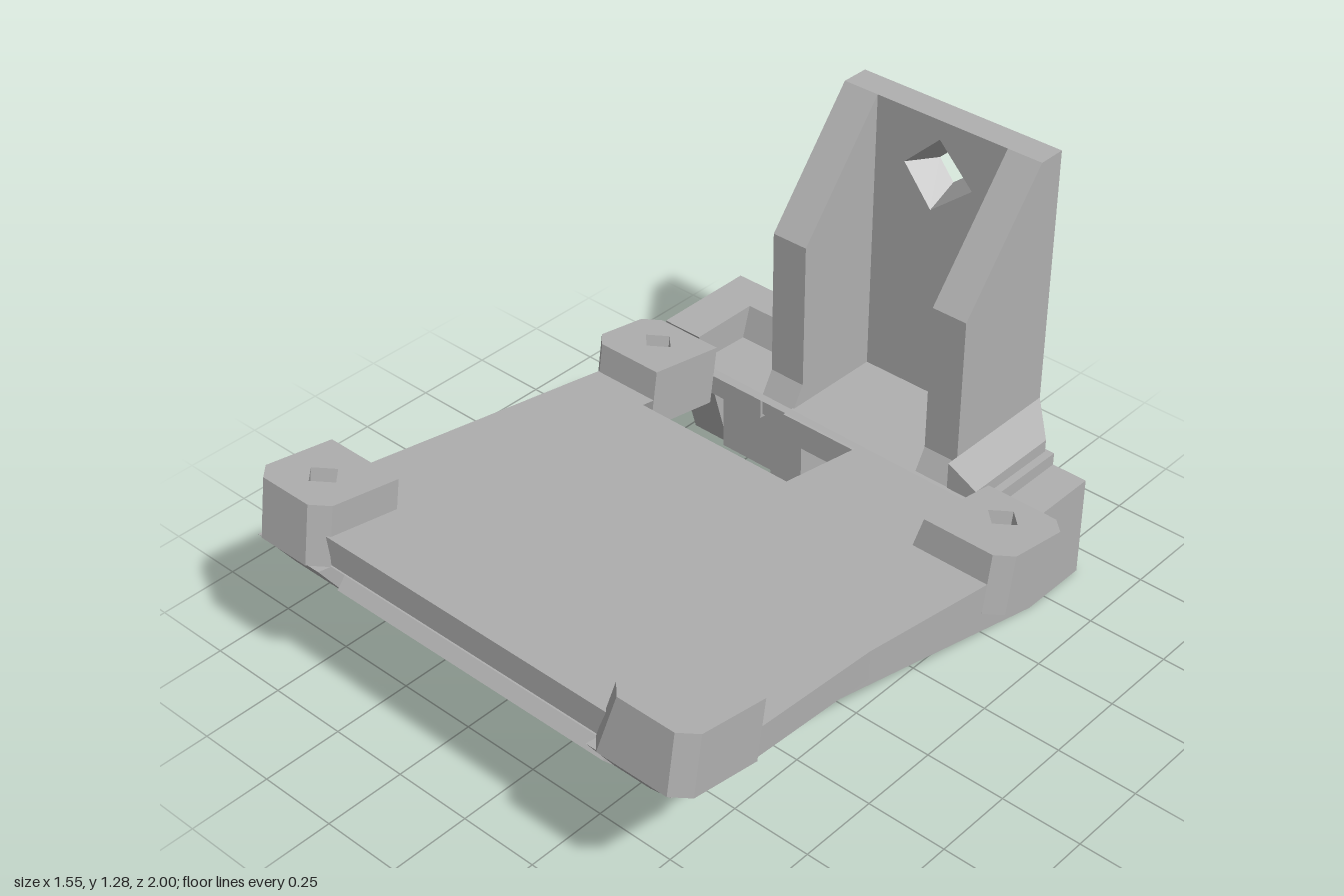
import * as THREE from 'three';

const SLOPE = 0.171;                       // tilt of the tray
const deckTop = z => 0.473 + SLOPE * z;
const deckBottom = z => 0.383 + SLOPE * z;
const postTop = z => 0.562 + SLOPE * z;
const postBottom = z => 0.379 + SLOPE * z;

export function createModel() {
  const group = new THREE.Group();
  group.name = 'tiltedTrayBracket';
  const grey = new THREE.MeshStandardMaterial({ color: 0xb0b0b0 });
  grey.name = 'grey';

  const add = (name, geometry) => {
    geometry.computeVertexNormals();
    const mesh = new THREE.Mesh(geometry, grey);
    mesh.name = name;
    group.add(mesh);
    return mesh;
  };
  const remap = (geometry, fn) => {
    const p = geometry.attributes.position;
    const v = new THREE.Vector3();
    for (let i = 0; i < p.count; i++) {
      v.fromBufferAttribute(p, i);
      fn(v);
      p.setXYZ(i, v.x, v.y, v.z);
    }
    return geometry;
  };
  const extrude = (pts, holes, depth) => {
    const toVec = list => list.map(([x, y]) => new THREE.Vector2(x, y));
    const shape = new THREE.Shape(toVec(pts));
    holes.forEach(h => shape.holes.push(new THREE.Path(toVec(h))));
    return new THREE.ExtrudeGeometry(shape, { depth, bevelEnabled: false });
  };
  // Plan outline [x, z] raised between two sloping heights
  const prism = (name, pts, holes, bottom, top, tweak = () => {}) => {
    const flip = list => list.map(([x, z]) => [x, -z]);
    const g = extrude(flip(pts), holes.map(flip), 1).rotateX(-Math.PI / 2);
    return add(name, remap(g, v => {
      const t = v.y;
      v.y = bottom(v.z) + (top(v.z) - bottom(v.z)) * t;
      tweak(v, t);
    }));
  };
  // Side profile [z, y] swept across x
  const side = (name, pts, x0, x1, tweak = () => {}) => {
    const g = extrude(pts.map(([z, y]) => [-z, y]), [], x1 - x0)
      .rotateY(Math.PI / 2).translate(x0, 0, 0);
    return add(name, remap(g, tweak));
  };
  const diamond = (x, z, r) => [[x - r, z], [x, z + r], [x + r, z], [x, z - r]];
  const flat = y => () => y;

  // Tray deck with its cable window
  prism('trayDeck',
    [[-0.735, -0.57], [0.73, -0.55], [0.73, 0.25], [0.77, 0.75], [0.73, 0.95], [-0.735, 0.95]],
    [[[-0.51, -0.53], [0.04, -0.53], [0.04, -0.23], [-0.51, -0.23]],
      diamond(-0.645, -0.42, 0.07), diamond(0.63, -0.42, 0.07)],
    deckBottom, deckTop);

  // Corner posts: chamfered outside, two of them wider toward the middle
  const post = (name, s, inner, z0, z1, front, holes) => {
    const c = 0.045, o = 0.775;
    const pts = front
      ? [[inner, z0], [o, z0], [o, z1 - c], [o - c, z1], [inner + c, z1], [inner, z1 - c]]
      : [[inner, z0], [o - c, z0], [o, z0 + c], [o, z1 - c], [o - c, z1], [inner, z1]];
    prism(name, pts.map(([x, z]) => [s * x, z]), holes, postBottom, postTop, (v, t) => {
      if (s > 0 && t > 0.5 && v.x < 0.52) v.x += 0.045;
      v.z -= 0.03 * t;
    });
  };
  post('frontRightPost', -1, 0.51, 0.73, 1.0, true, [diamond(-0.645, 0.87, 0.05)]);
  post('frontLeftPost', 1, 0.455, 0.73, 1.0, true, []);
  post('rearRightPost', -1, 0.51, -0.52, -0.26, false, [diamond(-0.645, -0.41, 0.05)]);
  post('rearLeftPost', 1, 0.455, -0.52, -0.23, false, [diamond(0.63, -0.41, 0.05)]);

  // Front rail with a groove, and the sloping feet below the front posts
  side('frontRail',
    [[0.78, 0.54], [0.955, 0.546], [0.9, 0.5], [0.94, 0.455], [0.9, 0.41], [0.78, 0.38]], -0.51, 0.46);
  const foot = [[0.78, 0.512], [0.995, 0.549], [0.9, 0.41], [0.78, 0.38]];
  side('frontRightFoot', foot, -0.75, -0.51, v => { if (v.y < 0.45) v.x = Math.max(v.x, -0.73); });
  side('frontLeftFoot', foot, 0.46, 0.74, v => { if (v.y < 0.45) v.x = Math.min(v.x, 0.58); });

  // Deep side rail running down to the base
  side('sideRail',
    [[-0.91, 0], [-0.68, 0], [0.9, 0.41], [0.93, 0.53], [-0.55, 0.3], [-0.57, 0.33], [-0.91, 0.33]], 0.46, 0.585);

  // Upright mounting plate with two countersunk holes
  const holes = [
    { c: [0, 1.1], pts: [[-0.12, 1.105], [0, 1.22], [0.12, 1.1], [-0.02, 0.985]] },
    { c: [0, 0.17], pts: [[-0.12, 0.16], [-0.04, 0.275], [0.12, 0.175], [-0.03, 0.06]] },
  ];
  const plate = extrude([[-0.345, 0], [0.345, 0], [0.345, 1.28], [-0.345, 1.28]],
    holes.map(h => h.pts), 0.09).translate(0, 0, -1);
  add('mountingPlate', remap(plate, v => {
    if (v.z > -0.95 || Math.abs(v.x) > 0.3) return;
    const [cx, cy] = holes[v.y > 0.6 ? 0 : 1].c;
    v.x = cx + (v.x - cx) * 0.52;
    v.y = cy + (v.y - cy) * 0.52;
  }));

  // Pair of gusset ribs with toes at the floor
  const rib = [[-0.91, 0], [-0.61, 0], [-0.61, 0.28], [-0.57, 0.3], [-0.57, 0.37],
    [-0.61, 0.44], [-0.61, 0.91], [-0.91, 1.28]];
  side('rightRib', rib, -0.345, -0.225);
  side('leftRib', rib, 0.23, 0.345);

  // Floor joining the plate to the tray
  side('rearFloor', [[-0.91, 0.28], [-0.53, 0.285], [-0.53, 0.375], [-0.91, 0.37]], -0.23, 0.47);

  // Chamfered shoulder beside the plate, sloping down to the side rail
  prism('shoulder', [[0.345, -1], [0.445, -0.9], [0.445, -0.57], [0.345, -0.57]], [],
    flat(0.28), flat(0.46), (v, t) => { if (t > 0.5 && v.x > 0.4) v.y = 0.41; });
  side('rearWall', [[-0.91, 0], [-0.85, 0], [-0.85, 0.3], [-0.91, 0.3]], 0.34, 0.47);

  // Side block with a pocket behind the tray
  side('blockCheek', [[-0.91, 0], [-0.7, 0], [-0.57, 0.46], [-0.91, 0.46]], -0.735, -0.6);
  side('blockPocket', [[-0.91, 0], [-0.68, 0], [-0.68, 0.28], [-0.56, 0.29], [-0.56, 0.37],
    [-0.77, 0.36], [-0.8, 0.46], [-0.91, 0.46]], -0.6, -0.345);

  return group;
}
